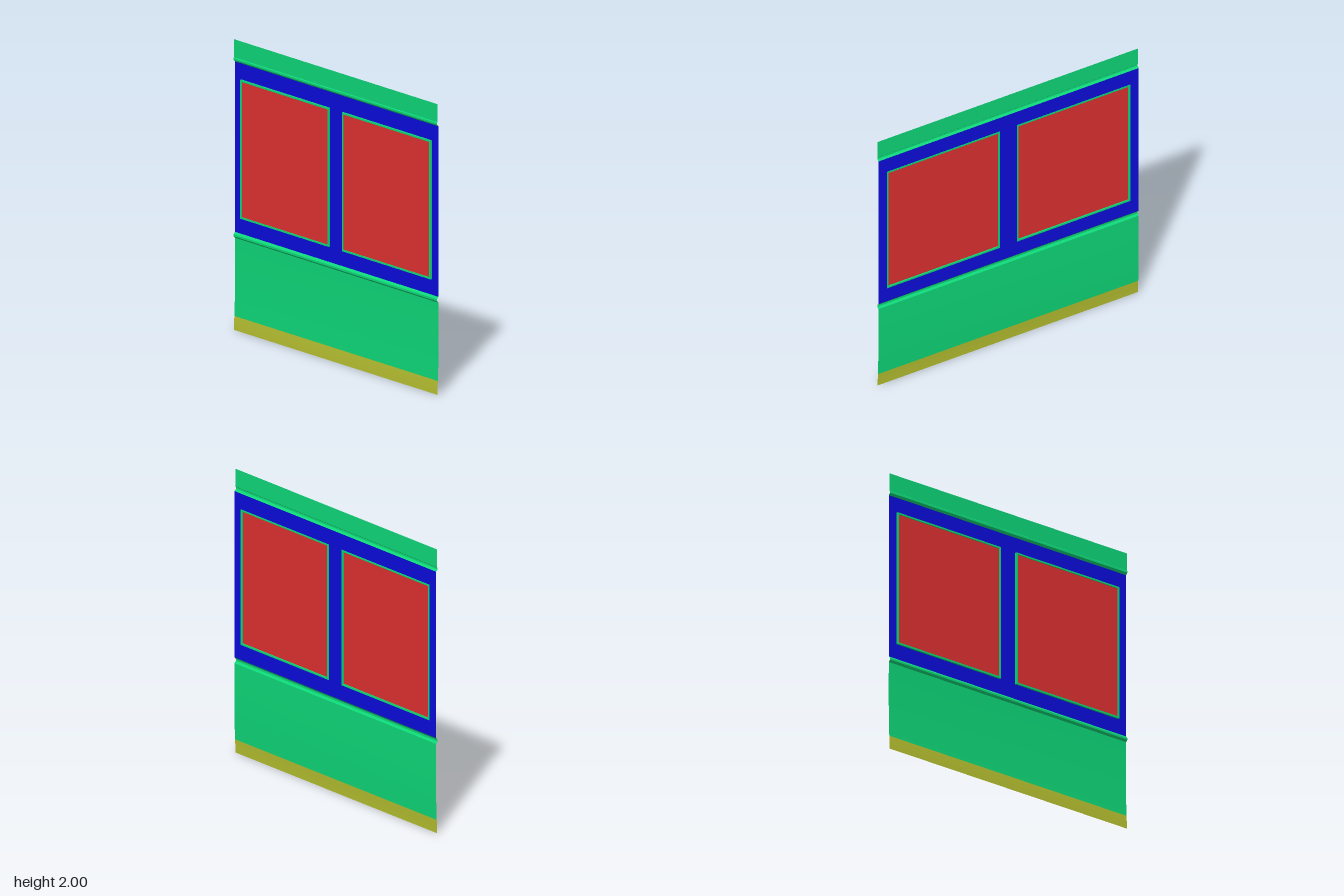
import * as THREE from 'three';

const GREEN = 0x0ed878, BLUE = 0x0c0cdc, RED = 0xdf3030, YELLOW = 0xb6c030;
const SKIN_X = 0.005; // plane of the window band
const OUT_X = -0.008; // outermost plane of beads and frames

function addMesh(parent, name, geometry, color) {
  const material = new THREE.MeshStandardMaterial({ color, side: THREE.DoubleSide });
  const mesh = new THREE.Mesh(geometry, material);
  mesh.name = name;
  parent.add(mesh);
  return mesh;
}

// Thin sheet: a profile of [x, y] points, listed from top to bottom, swept along z
function sheet(profile, creased = false) {
  const positions = [], index = [];
  profile.forEach(([x, y], i) => {
    positions.push(x, y, 1, x, y, -1);
    if (i < profile.length - 1) {
      const a = 2 * i;
      index.push(a, a + 2, a + 3, a, a + 3, a + 1);
    }
  });
  let geometry = new THREE.BufferGeometry();
  geometry.setAttribute('position', new THREE.Float32BufferAttribute(positions, 3));
  geometry.setIndex(index);
  if (creased) geometry = geometry.toNonIndexed();
  geometry.computeVertexNormals();
  return geometry;
}

// Rectangle as a closed outline, usable as shape or hole
function rect(PathType, cx, cy, w, h) {
  const path = new PathType();
  path.moveTo(cx - w / 2, cy - h / 2);
  path.lineTo(cx + w / 2, cy - h / 2);
  path.lineTo(cx + w / 2, cy + h / 2);
  path.lineTo(cx - w / 2, cy + h / 2);
  path.closePath();
  return path;
}

export function createModel() {
  const group = new THREE.Group();
  group.name = 'sidePanel';

  // Window openings
  const winY = 1.2575, winW = 0.87, winH = 0.955, rim = 0.012;
  const centres = [-0.5, 0.5];

  // Roof strip and its rain bead
  addMesh(group, 'topStrip', sheet([[-0.004, 2], [-0.003, 1.875]]), GREEN);
  addMesh(group, 'topBead', sheet(
    [[-0.003, 1.875], [OUT_X, 1.87], [OUT_X, 1.858], [SKIN_X, 1.845]], true), GREEN);

  // Window band with two openings
  const band = rect(THREE.Shape, 0, (1.845 + 0.673) / 2, 2, 1.845 - 0.673);
  centres.forEach(c => band.holes.push(rect(THREE.Path, c, winY, winW, winH)));
  const bandGeometry = new THREE.ShapeGeometry(band).rotateY(Math.PI / 2).translate(SKIN_X, 0, 0);
  addMesh(group, 'windowBand', bandGeometry, BLUE);

  // Frames and panes
  centres.forEach((c, i) => {
    const side = i ? 'rear' : 'front';
    const ring = rect(THREE.Shape, c, winY, winW, winH);
    ring.holes.push(rect(THREE.Path, c, winY, winW - 2 * rim, winH - 2 * rim));
    const frame = new THREE.ExtrudeGeometry(ring, { depth: -2 * OUT_X, bevelEnabled: false });
    addMesh(group, side + 'WindowFrame', frame.rotateY(Math.PI / 2).translate(OUT_X, 0, 0), GREEN);

    const pane = new THREE.PlaneGeometry(winW - 2 * rim, winH - 2 * rim).rotateY(Math.PI / 2);
    addMesh(group, side + 'WindowPane', pane, RED).position.set(-0.002, winY, -c);
  });

  // Waist bead below the windows
  addMesh(group, 'waistBead', sheet(
    [[SKIN_X, 0.673], [OUT_X, 0.658], [OUT_X, 0.645], [SKIN_X, 0.632]], true), GREEN);

  // Lower skin, curving gently inward to the sill
  addMesh(group, 'lowerPanel', sheet(
    [[SKIN_X, 0.632], [0.006, 0.5], [0.006, 0.35], [0.0045, 0.22], [0, 0.095]]), GREEN);
  addMesh(group, 'sillStrip', sheet([[0, 0.095], [-0.003, 0.045], [-0.004, 0]]), YELLOW);

  return group;
}
